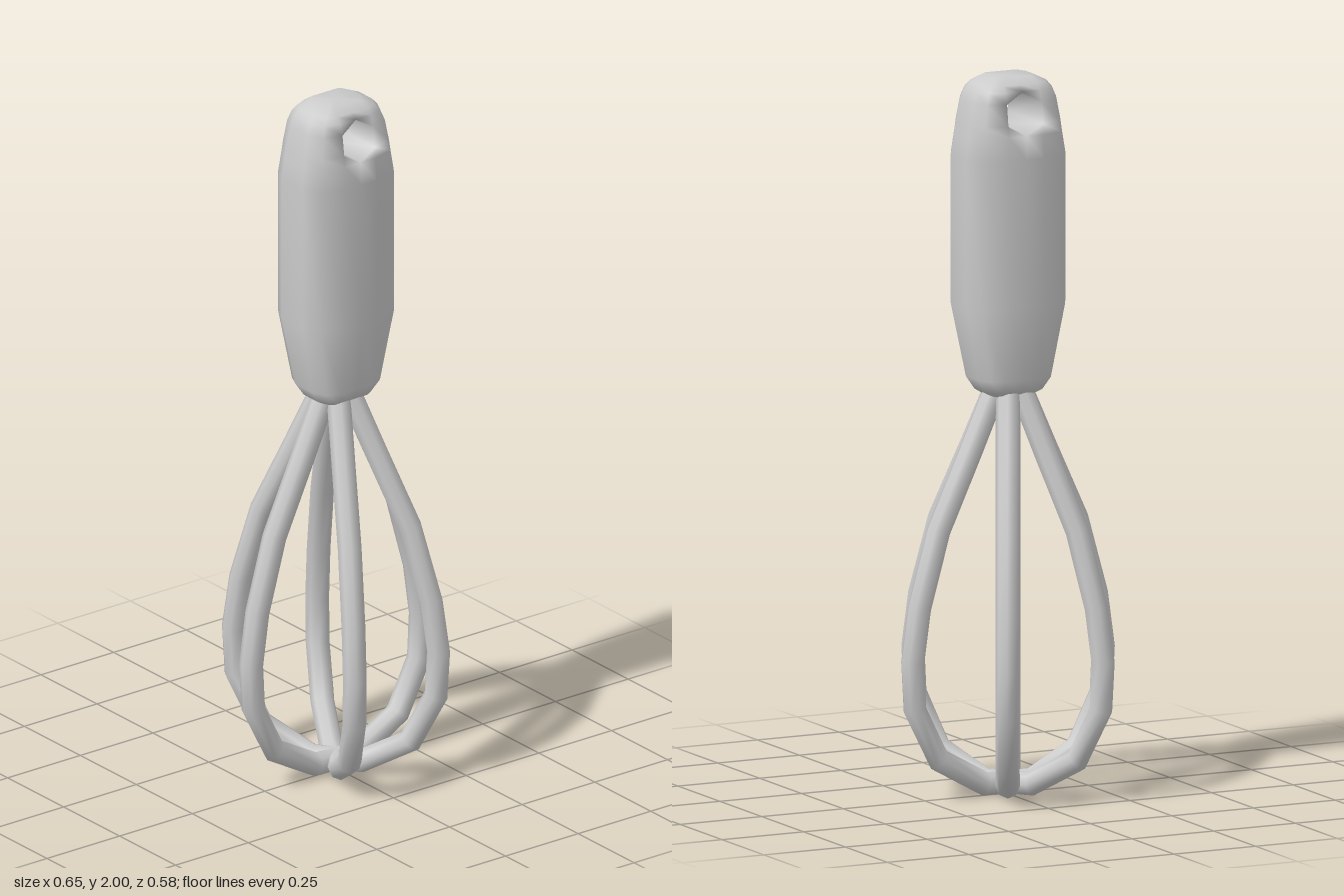
import * as THREE from 'three';

const material = new THREE.MeshStandardMaterial({ color: 0xcccccc });

// Handle cross-sections from bottom to top: [y, half width, half depth]
const RINGS = [
  [1.114, 0.063, 0.05], [1.13, 0.088, 0.075], [1.165, 0.11, 0.094],
  [1.37, 0.152, 0.115], [1.78, 0.152, 0.115],
  [1.845, 0.142, 0.109], [1.875, 0.138, 0.106], [1.935, 0.127, 0.098], [1.965, 0.115, 0.088],
  [1.982, 0.1, 0.075], [2.0, 0.064, 0.05],
];
const HOLE = 5; // ring at the bottom corner of the hanging hole
const N = 14;   // points around each cross-section

function handleGeometry() {
  const positions = [], index = [];
  const id = (ring, j) => ring * N + (j % N);

  for (const [y, w, d] of RINGS) {
    const s = Math.min(0.053, w * 0.7);
    const half = [[w, 0.4 * d], [0.83 * w, 0.83 * d], [s, d], [0, d], [-s, d], [-0.83 * w, 0.83 * d], [-w, 0.4 * d]];
    for (const [x, z] of half) positions.push(x, y, z);
    for (const [x, z] of half) positions.push(-x, y, -z);
  }

  // Skin, with the middle front and back cells cut to a hexagonal opening
  for (let r = 0; r < RINGS.length - 1; r++) {
    for (let j = 0; j < N; j++) {
      const a = id(r, j), b = id(r, j + 1), c = id(r + 1, j), d = id(r + 1, j + 1);
      const first = j === 2 || j === 9, second = j === 3 || j === 10;
      const row = first || second ? r - HOLE : -1;
      if (row === 1) continue;
      if (row === 0) index.push(a, first ? c : d, b);
      else if (row === 2) index.push(...(first ? [a, c, d] : [c, d, b]));
      else index.push(a, c, d, a, d, b);
    }
  }

  // Walls of the hole, front rim to back rim
  const rim = [[0, 3], [1, 2], [2, 2], [3, 3], [2, 4], [1, 4]];
  rim.forEach(([r0, j0], k) => {
    const [r1, j1] = rim[(k + 1) % rim.length];
    const f0 = id(HOLE + r0, j0), f1 = id(HOLE + r1, j1);
    const b0 = id(HOLE + r0, 13 - j0), b1 = id(HOLE + r1, 13 - j1);
    index.push(f0, f1, b0, f1, b1, b0);
  });

  // End caps
  const last = RINGS.length - 1, bottom = RINGS.length * N, top = bottom + 1;
  positions.push(0, RINGS[0][0], 0, 0, RINGS[last][0], 0);
  for (let j = 0; j < N; j++) {
    index.push(bottom, id(0, j), id(0, j + 1));
    index.push(top, id(last, j + 1), id(last, j));
  }

  const geometry = new THREE.BufferGeometry();
  geometry.setAttribute('position', new THREE.Float32BufferAttribute(positions, 3));
  geometry.setIndex(index);
  geometry.computeVertexNormals();
  return geometry;
}

// One wire loop: down one side, across the bottom and up the other side
function wireGeometry() {
  const side = [
    [0.03, 1.15], [0.115, 0.96], [0.212, 0.75], [0.271, 0.54],
    [0.292, 0.39], [0.285, 0.26], [0.212, 0.115], [0.07, 0.036],
  ];
  const points = [
    ...side.map(([x, y]) => new THREE.Vector3(-x, y, 0)),
    ...side.reverse().map(([x, y]) => new THREE.Vector3(x, y, 0)),
  ];
  const curve = new THREE.CatmullRomCurve3(points);
  // Put one ring on each point, so the bends stay faceted
  curve.getPointAt = (u, target) => curve.getPoint(u, target);
  curve.getTangentAt = (u, target) => curve.getTangent(u, target);
  return new THREE.TubeGeometry(curve, points.length - 1, 0.033, 8, false);
}

export function createModel() {
  const model = new THREE.Group();
  model.name = 'whisk';

  const handle = new THREE.Mesh(handleGeometry(), material);
  handle.name = 'handle';
  handle.position.set(-0.003, 0, -0.003);
  model.add(handle);

  // Three crossing loops
  const wires = new THREE.Group();
  wires.name = 'wires';
  const geometry = wireGeometry();
  [0, 62.5, -54.5].forEach((degrees, i) => {
    const wire = new THREE.Mesh(geometry, material);
    wire.name = `wireLoop${i + 1}`;
    wire.rotation.y = THREE.MathUtils.degToRad(degrees);
    wire.position.set(-0.003, 0, -0.003);
    wires.add(wire);
  });
  model.add(wires);

  return model;
}
